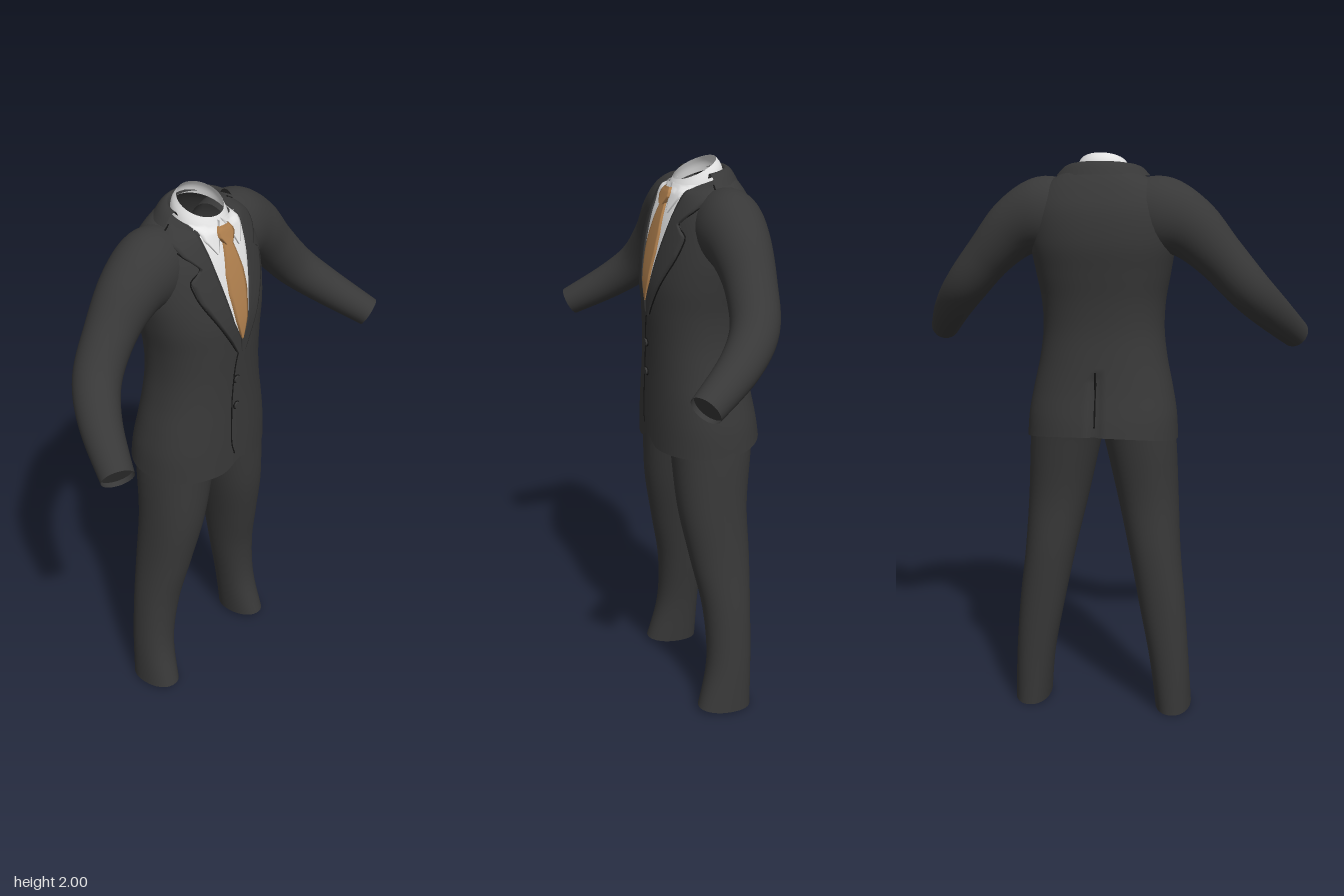
import * as THREE from 'three';
import { mergeGeometries } from 'three/addons/utils/BufferGeometryUtils.js';

const mat = (name, color) => {
  const m = new THREE.MeshStandardMaterial({ color, side: THREE.DoubleSide });
  m.name = name;
  return m;
};

// Catmull-Rom through rows of numbers, t in 0..1
function spline(keys, t) {
  const n = keys.length - 1, f = Math.min(t * n, n - 1e-6), i = Math.floor(f), u = f - i;
  const at = (q) => keys[Math.max(0, Math.min(n, q))];
  return keys[0].map((_, c) => {
    const [a, b, d, e] = [at(i - 1)[c], at(i)[c], at(i + 1)[c], at(i + 2)[c]];
    return 0.5 * (2 * b + (d - a) * u + (2 * a - 5 * b + 4 * d - e) * u * u + (3 * b - a - 3 * d + e) * u ** 3);
  });
}

// Surface from a grid of points; wrap joins the last column to the first
function grid(rows, wrap, flip = false) {
  const n = rows[0].length, idx = [];
  for (let i = 0; i < rows.length - 1; i++) {
    for (let j = 0; j < (wrap ? n : n - 1); j++) {
      const k = (j + 1) % n;
      const a = i * n + j, b = i * n + k, c = a + n, d = b + n;
      if (flip) idx.push(a, b, c, b, d, c);
      else idx.push(a, c, b, b, c, d);
    }
  }
  const g = new THREE.BufferGeometry().setFromPoints(rows.flat());
  g.setIndex(idx);
  g.computeVertexNormals();
  return g;
}

function loft(keys, steps, segs, point, { start = 0, arc = Math.PI * 2, capRow = -1 } = {}) {
  const wrap = arc > 6, rows = [];
  for (let i = 0; i <= steps; i++) {
    const t = i / steps, k = spline(keys, t), row = [];
    for (let j = 0; j < (wrap ? segs : segs + 1); j++) row.push(point(k, start + (arc * j) / segs, t));
    rows.push(row);
  }
  const g = grid(rows, wrap);
  if (capRow < 0) return g;
  const ring = rows[capRow], mid = new THREE.Vector3();
  ring.forEach((p) => mid.addScaledVector(p, 1 / ring.length));
  const cap = grid([ring, ring.map(() => mid)], true, capRow < steps / 2);
  return mergeGeometries([g, cap]);
}

const V = (x, y, z) => new THREE.Vector3(x, y, z);
const pow = (v, e) => Math.sign(v) * Math.abs(v) ** e;

export function createModel() {
  const group = new THREE.Group();
  const suit = mat('charcoal cloth', 0x383838);
  const seam = mat('dark seam', 0x151515);
  const white = mat('white shirt', 0xe4e4e4);
  const tan = mat('tan tie', 0xb0804e);
  const add = (name, geometry, material) => {
    const m = new THREE.Mesh(geometry, material);
    m.name = name;
    group.add(m);
    return m;
  };

  // Jacket body: y, half width, front z, back z, backward tilt of the ring
  const body = [
    [1.02, 0.268, 0.138, -0.25, 0.012], [1.11, 0.262, 0.136, -0.24, 0], [1.2, 0.246, 0.133, -0.222, 0],
    [1.3, 0.225, 0.13, -0.208, 0], [1.4, 0.213, 0.13, -0.2, 0], [1.5, 0.217, 0.132, -0.205, 0],
    [1.6, 0.235, 0.13, -0.22, 0], [1.7, 0.25, 0.112, -0.234, 0], [1.8, 0.246, 0.085, -0.227, 0],
    [1.87, 0.215, 0.06, -0.2, 0.005], [1.915, 0.16, 0.045, -0.168, 0.015], [1.93, 0.1, 0.035, -0.135, 0.03],
  ];
  const torso = add('jacketBody', loft(body, 66, 96, ([y, w, zf, zb, tilt], a) => {
    const c = Math.cos(a), s = Math.sin(a), e = 2 / 2.25;
    const p = V(w * pow(c, e), y - tilt * s, (zf + zb) / 2 + ((zf - zb) / 2) * pow(s, e));
    const low = Math.max(0, (1.12 - y) / 0.1);
    if (s > 0) p.y += 0.035 * low * Math.exp(-((p.x / 0.045) ** 2)); // rounded front cutaway
    else p.y += 0.018 * low * s * s;
    if (s < 0 && Math.abs(p.x) < 0.012 && y < 1.25) p.z += 0.015; // back vent
    return p;
  }), suit);

  // Standing shirt collar, higher at the back: half width, front z, back z, front y, back y
  const shirtCollar = add('shirtCollar', loft([
    [0.099, 0.055, -0.135, 1.875, 1.95], [0.092, 0.043, -0.127, 1.905, 1.977], [0.081, 0.03, -0.11, 1.93, 1.998],
  ], 6, 48, ([w, zf, zb, yf, yb], a) => {
    const s = Math.sin(a);
    return V(w * Math.cos(a), (yf + yb) / 2 + ((yf - yb) / 2) * s, (zf + zb) / 2 + ((zf - zb) / 2) * s);
  }), white);

  // Jacket collar around the back of the neck
  add('jacketCollar', loft([
    [0.1, -0.128, 1.94, 1.955], [0.11, -0.14, 1.957, 1.97], [0.135, -0.16, 1.95, 1.957], [0.162, -0.178, 1.922, 1.925],
  ], 9, 40, ([w, zb, ys, yb], a) => {
    const s = -Math.sin(a);
    return V(w * Math.cos(a), ys + (yb - ys) * s, -0.045 + (zb + 0.045) * s);
  }, { start: Math.PI, arc: Math.PI }), suit);

  // Points laid on the jacket and collar from the front (1) or back (-1)
  const ray = new THREE.Raycaster();
  const drape = (x, y, lift, side = 1) => {
    ray.set(V(x, y, side * 2), V(0, 0, -side));
    const hit = ray.intersectObjects([torso, shirtCollar])[0];
    const z = hit ? hit.point.z : -0.05;
    return V(x, y, (side > 0 ? Math.max(z, -0.05) : z) + side * lift);
  };

  // Draped plate from rows of y, left edge, right edge, with edges turned in
  const plate = (name, keys, lift, material, cols = 8) => {
    const rows = [];
    for (let i = 0; i < keys.length - 1; i++) {
      for (let q = i ? 1 : 0; q <= 5; q++) {
        const [y, l, r] = keys[i].map((v, c) => v + ((keys[i + 1][c] - v) * q) / 5);
        const row = [drape(l, y, -0.004)];
        for (let j = 0; j <= cols; j++) row.push(drape(l + ((r - l) * j) / cols, y, lift));
        row.push(drape(r, y, -0.004));
        rows.push(row);
      }
    }
    return add(name, grid(rows, false, true), material);
  };
  const line = (name, pts, lift, side = 1, r = 0.0025) => {
    const curve = new THREE.CatmullRomCurve3(pts.map(([x, y]) => drape(x, y, lift, side)), false, 'centripetal');
    add(name, new THREE.TubeGeometry(curve, pts.length * 5, r, 5), seam);
  };

  // Shirt front and tie
  plate('shirtFront', [[1.52, -0.004, 0.004], [1.6, -0.04, 0.04], [1.7, -0.065, 0.065], [1.8, -0.085, 0.085],
    [1.91, -0.102, 0.102]], 0.004, white, 14);
  plate('tieBlade', [[1.53, -0.003, 0.003], [1.6, -0.026, 0.026], [1.7, -0.042, 0.042], [1.76, -0.04, 0.04],
    [1.865, -0.017, 0.017]], 0.011, tan);
  plate('tieKnot', [[1.852, -0.016, 0.016], [1.878, -0.036, 0.036], [1.892, -0.034, 0.034], [1.908, -0.022, 0.022]],
    0.018, tan);

  for (const s of [1, -1]) {
    const side = s > 0 ? 'left' : 'right';
    const mirror = (rows) => rows.map(([y, a, b]) => (s > 0 ? [y, a, b] : [y, -b, -a]));

    // Shirt collar point and notched lapel
    plate(side + 'CollarPoint', mirror([[1.83, 0.048, 0.054], [1.88, 0.026, 0.088], [1.92, 0.008, 0.092]]), 0.01, white);
    plate(side + 'Lapel', mirror([[1.48, 0, 0.018], [1.53, 0.004, 0.046], [1.6, 0.036, 0.09], [1.7, 0.06, 0.148],
      [1.77, 0.076, 0.165], [1.805, 0.083, 0.127], [1.85, 0.09, 0.168], [1.895, 0.098, 0.184],
      [1.925, 0.102, 0.14]]), 0.009, suit);
    line(side + 'LapelSeam', [[0.02, 1.485], [0.048, 1.53], [0.092, 1.6], [0.15, 1.7], [0.163, 1.74], [0.166, 1.77],
      [0.127, 1.805], [0.168, 1.85], [0.184, 1.895], [0.14, 1.925]].map(([x, y]) => [s * x, y]), 0.002);

    // Sleeve: centre x, y, z, radius up, radius deep
    const path = [
      [0.1, 1.79, -0.08, 0.11, 0.1], [0.2, 1.79, -0.075, 0.132, 0.113], [0.3, 1.75, -0.07, 0.108, 0.1],
      [0.4, 1.657, -0.06, 0.085, 0.084], [0.5, 1.545, -0.028, 0.076, 0.078], [0.58, 1.458, 0.06, 0.066, 0.068],
      [0.66, 1.368, 0.205, 0.052, 0.054],
    ];
    const at = (t) => { const k = spline(path, t); return V(s * k[0], k[1], k[2]); };
    add(side + 'Sleeve', loft(path, 42, 32, (k, a, t) => {
      const T = at(Math.min(1, t + 0.01)).sub(at(Math.max(0, t - 0.01))).normalize();
      const U = V(-s * T.y, s * T.x, 0).normalize(), W = U.clone().cross(T);
      return at(t).addScaledVector(U, k[3] * Math.cos(a)).addScaledVector(W, k[4] * Math.sin(a));
    }, { capRow: 41 }), suit);

    // Trouser leg: y, inner x, outer x, front z, back z
    add(side + 'TrouserLeg', loft([
      [0.013, 0.2, 0.33, 0.048, -0.155], [0.2, 0.178, 0.32, 0.006, -0.16], [0.4, 0.14, 0.305, 0.01, -0.165],
      [0.6, 0.1, 0.284, 0.048, -0.17], [0.8, 0.055, 0.272, 0.083, -0.168], [1, 0.01, 0.262, 0.095, -0.19],
      [1.1, -0.015, 0.25, 0.1, -0.2], [1.2, -0.02, 0.23, 0.1, -0.19],
    ], 42, 36, ([y, xi, xo, zf, zb], a) => {
      const c = Math.cos(a), q = Math.sin(a), e = 2 / 2.15;
      return V(s * (xi + xo) / 2 + ((xo - xi) / 2) * pow(c, e), y + 0.012 * q * Math.max(0, 1 - y / 0.15),
        (zf + zb) / 2 + ((zf - zb) / 2) * pow(q, e));
    }, { capRow: 1 }), suit);
  }

  // Front closing edge, back vent and buttons
  line('frontEdge', [[-0.002, 1.5], [-0.02, 1.44], [-0.034, 1.32], [-0.04, 1.2], [-0.04, 1.12], [-0.028, 1.075]], 0.001);
  line('backVent', [[0, 1.08], [0, 1.14], [0, 1.2], [0, 1.27]], 0, -1, 0.004);
  for (const y of [1.375, 1.27]) {
    const b = add('button', new THREE.CylinderGeometry(0.012, 0.014, 0.01, 20), seam);
    b.material = suit;
    b.rotation.x = Math.PI / 2;
    b.position.copy(drape(-0.016, y, 0.004));
    const rim = add('buttonRim', new THREE.TorusGeometry(0.014, 0.002, 6, 20), seam);
    rim.position.copy(drape(-0.016, y, 0.002));
  }
  return group;
}
